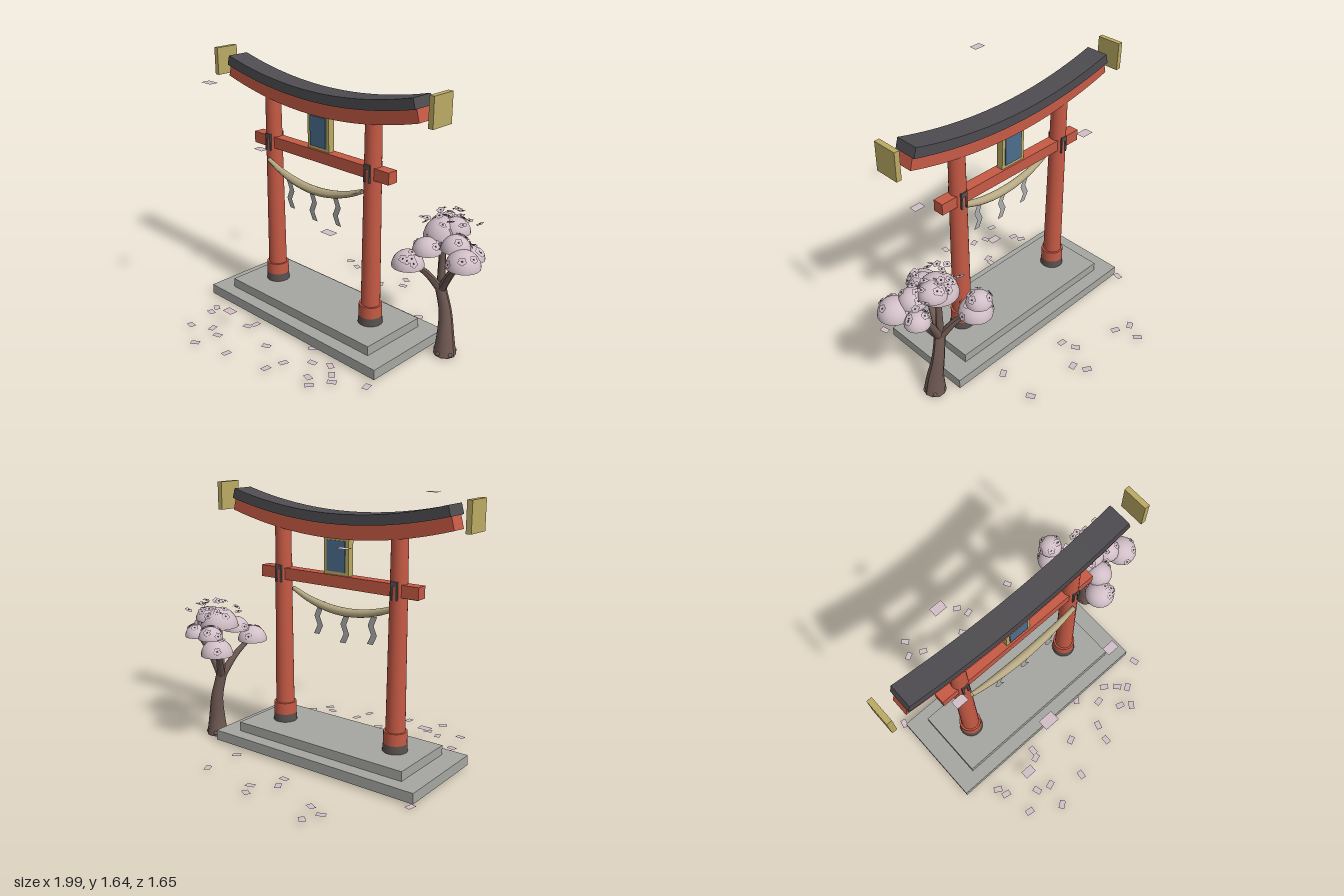
import * as THREE from 'three';
import { mergeGeometries } from 'three/addons/utils/BufferGeometryUtils.js';

const CX = -0.11, CZ = -0.005; // gate centre

function mat(name, color, side = THREE.FrontSide) {
  const m = new THREE.MeshStandardMaterial({ color, side });
  m.name = name;
  return m;
}

// Small seeded random number generator
function seeded(s) {
  return () => (s = (s * 16807) % 2147483647) / 2147483647;
}

// Tube whose radius follows a rule along its length (t = 0..1)
function limb(points, radius, segs = 16, sides = 10) {
  const curve = new THREE.CatmullRomCurve3(points.map(p => new THREE.Vector3(...p)));
  const g = new THREE.TubeGeometry(curve, segs, 1, sides);
  const p = g.attributes.position, v = new THREE.Vector3();
  for (let i = 0; i < p.count; i++) {
    const t = Math.floor(i / (sides + 1)) / segs;
    const c = curve.getPointAt(t);
    v.fromBufferAttribute(p, i).sub(c).multiplyScalar(radius(t)).add(c);
    p.setXYZ(i, v.x, v.y, v.z);
  }
  g.computeVertexNormals();
  return g;
}

// Upward curving beam, profile between a lower and an upper parabola
function bentBeam(low, high, depth) {
  const s = new THREE.Shape(), n = 24;
  for (let i = 0; i <= n; i++) {
    const u = (i / n) * 2 - 1, x = u * low.half, y = low.y + low.rise * u * u;
    i ? s.lineTo(x, y) : s.moveTo(x, y);
  }
  for (let i = n; i >= 0; i--) {
    const u = (i / n) * 2 - 1;
    s.lineTo(u * high.half, high.y + high.rise * u * u);
  }
  return new THREE.ExtrudeGeometry(s, { depth, bevelEnabled: false }).translate(CX, 0, CZ - depth / 2);
}

export function createModel() {
  const model = new THREE.Group();
  const D = THREE.DoubleSide;
  const red = mat('vermilion', 0xc65a45), roof = mat('roofDark', 0x4e4c50);
  const stone = mat('stone', 0xa6a6a2), gold = mat('gold', 0xbcab64);
  const blue = mat('plaqueBlue', 0x4c6e8e), iron = mat('iron', 0x58504e);
  const bark = mat('bark', 0x705a54, D), pink = mat('blossomPink', 0xd2bfc8, D);
  const straw = mat('straw', 0xb8aa84, D), paper = mat('paper', 0xacacac, D);

  const add = (name, geo, material, parent = model) => {
    const m = new THREE.Mesh(geo, material);
    m.name = name;
    parent.add(m);
    return m;
  };
  const box = (name, material, w, h, d, x, y, z = CZ) =>
    add(name, new THREE.BoxGeometry(w, h, d).translate(x, y, z), material);

  // Stone steps
  box('lowerStep', stone, 1.475, 0.065, 0.63, CX, 0.0475);
  box('upperStep', stone, 1.22, 0.06, 0.46, CX, 0.11);

  // Pillars with footings, sleeves and wedges
  for (const side of [-1, 1]) {
    const x = CX + side * 0.42;
    const cyl = (name, material, r1, r0, y0, y1) =>
      add(name, new THREE.CylinderGeometry(r1, r0, y1 - y0, 24).translate(x, (y0 + y1) / 2, CZ), material);
    cyl('pillar', red, 0.049, 0.06, 0.14, 1.42);
    cyl('sleeve', red, 0.071, 0.072, 0.19, 0.265);
    cyl('footing', iron, 0.072, 0.076, 0.14, 0.19);
    box('wedgeTop', iron, 0.046, 0.03, 0.112, x, 1.148);
    for (const s of [-1, 1]) box('wedgeLeg', iron, 0.012, 0.09, 0.112, x + s * 0.017, 1.1);
    // Gold end plates beside the roof
    box('endPlate', gold, 0.032, 0.175, 0.157, CX + side * 0.874, 1.557);
  }

  // Crossbeam and curved top beams
  box('crossbeam', red, 1.137, 0.073, 0.07, CX, 1.108);
  add('lintel', bentBeam({ half: 0.78, y: 1.363, rise: 0.112 }, { half: 0.76, y: 1.45, rise: 0.1 }, 0.105), red);
  add('roofBeam', bentBeam({ half: 0.767, y: 1.45, rise: 0.1 }, { half: 0.75, y: 1.51, rise: 0.1 }, 0.146), roof);

  // Plaque
  box('plaqueFrame', gold, 0.178, 0.225, 0.045, CX, 1.256);
  box('plaquePanel', blue, 0.13, 0.185, 0.057, CX, 1.257);

  // Sagging rope
  const rope = [];
  for (let i = 0; i <= 8; i++) {
    const u = i / 4 - 1;
    rope.push([CX + u * 0.4, 0.902 + 0.098 * u * u, 0.063]);
  }
  add('rope', limb(rope, t => 0.014 + 0.013 * Math.sin(Math.PI * t), 32, 12), straw);

  // Zigzag paper streamers
  for (const [dx, top] of [[-0.2, 0.905], [0, 0.88], [0.2, 0.905]]) {
    const s = new THREE.Shape(), offs = [-0.012, 0.012, -0.012, 0.016], w = 0.021;
    offs.forEach((o, i) => (i ? s.lineTo(o - w, -i * 0.058) : s.moveTo(o - w, 0)));
    for (let i = 3; i >= 0; i--) s.lineTo(offs[i] + w, -i * 0.058);
    add('streamer', new THREE.ShapeGeometry(s).translate(CX + dx, top, 0.064), paper);
  }

  // Tree trunk, roots and branches
  const tree = new THREE.Group();
  tree.name = 'tree';
  model.add(tree);
  add('trunk', limb([[0.73, 0.005, -0.21], [0.725, 0.12, -0.215], [0.705, 0.27, -0.228], [0.67, 0.43, -0.215]],
    t => 0.034 + 0.035 * (1 - t) ** 2), bark, tree);
  add('trunkBase', new THREE.CircleGeometry(0.069, 10).rotateX(Math.PI / 2).translate(0.73, 0.006, -0.21), bark, tree);
  for (let i = 0; i < 5; i++) {
    const a = i * 1.257 + 0.4;
    add('root', new THREE.SphereGeometry(0.015, 8, 6)
      .translate(0.73 + Math.cos(a) * 0.058, 0.022, -0.21 + Math.sin(a) * 0.058), bark, tree);
  }

  // Blossom domes: x, base height, z, radius
  const domes = [
    [0.54, 0.62, -0.38, 0.1], [0.55, 0.73, -0.42, 0.075], [0.595, 0.62, 0.005, 0.095],
    [0.89, 0.67, -0.11, 0.1], [0.85, 0.66, -0.25, 0.075], [0.67, 0.75, -0.22, 0.12],
    [0.73, 0.79, -0.25, 0.085], [0.66, 0.7, -0.08, 0.085], [0.8, 0.73, -0.16, 0.085]
  ];
  for (const i of [0, 2, 3, 4, 5]) {
    const [x, y, z] = domes[i];
    const start = [0.672, 0.41, -0.216];
    const mid = [0.672 + (x - 0.672) * 0.45, 0.41 + (y - 0.38) * 0.55, -0.216 + (z + 0.216) * 0.45];
    add('branch', limb([start, mid, [x, y + 0.03, z]], t => 0.027 - 0.014 * t, 10, 8), bark, tree);
  }

  // Five-lobed flower
  const petals = [];
  for (let i = 0; i < 5; i++) {
    petals.push(new THREE.CircleGeometry(0.0115, 7).translate(0.014, 0, 0).rotateZ(i * 1.257));
  }
  const flowerGeo = mergeGeometries(petals);
  const centreGeo = new THREE.SphereGeometry(0.005, 6, 4);
  const rand = seeded(77), zAxis = new THREE.Vector3(0, 0, 1);
  const flower = (pos, dir) => {
    const f = new THREE.Group();
    f.name = 'flower';
    f.position.copy(pos);
    f.quaternion.setFromUnitVectors(zAxis, dir);
    add('flowerPetals', flowerGeo, pink, f);
    add('flowerCentre', centreGeo, iron, f);
    tree.add(f);
  };
  for (const [x, y, z, r] of domes) {
    add('blossomDome', new THREE.SphereGeometry(r, 18, 8, 0, Math.PI * 2, 0, Math.PI / 2)
      .translate(x, y, z), pink, tree);
    for (let k = 0; k < 6; k++) {
      const a = rand() * Math.PI * 2, h = 0.25 + rand() * 0.7, q = Math.sqrt(1 - h * h);
      const dir = new THREE.Vector3(q * Math.cos(a), h, q * Math.sin(a));
      flower(dir.clone().multiplyScalar(r + 0.006).add(new THREE.Vector3(x, y, z)), dir);
    }
  }
  // Loose flowers above the crown
  for (let k = 0; k < 16; k++) {
    const a = k * 2.4, d = 0.05 + rand() * 0.13;
    const dir = new THREE.Vector3(rand() - 0.5, 0.9, rand() - 0.5).normalize();
    flower(new THREE.Vector3(0.7 + d * Math.cos(a), 0.95 - d * 0.6, -0.23 + d * Math.sin(a)), dir);
  }

  // Fallen petals on the ground: x, z
  const fallen = [
    [-0.47, -0.81], [-0.52, -0.71], [-0.42, -0.67], [-0.03, -0.76], [0.01, -0.68], [-0.12, -0.59],
    [-0.09, -0.5], [0.37, -0.66], [0.36, -0.42], [-0.85, -0.35], [-0.67, 0.42], [-0.65, 0.48],
    [-0.61, 0.67], [-0.48, 0.6], [-0.39, 0.63], [-0.42, 0.78], [-0.34, 0.43], [-0.32, 0.38],
    [-0.19, 0.72], [-0.08, 0.5], [0.1, 0.66], [0.13, 0.55], [0.14, 0.32], [0.25, 0.43],
    [0.34, 0.55], [0.35, 0.38], [0.4, 0.6], [0.42, 0.44], [0.47, 0.49], [0.64, 0.385]
  ];
  const petalGeo = new THREE.PlaneGeometry(0.055, 0.037).rotateX(-Math.PI / 2);
  for (const [x, z] of fallen) {
    const p = add('fallenPetal', petalGeo, pink);
    p.position.set(x, 0.015, z);
    p.rotation.y = rand() * Math.PI;
  }
  // Drifting petals
  const driftGeo = new THREE.PlaneGeometry(0.08, 0.055).rotateX(-Math.PI / 2);
  for (const [x, y, z] of [[-0.38, 1.37, -0.33], [-0.4, 1.6, 0.57], [-0.45, 0.1, 0.48], [0.32, 0.85, 0.36], [-0.59, 1.05, 0.06]]) {
    add('driftingPetal', driftGeo, pink).position.set(x, y, z);
  }
  return model;
}
